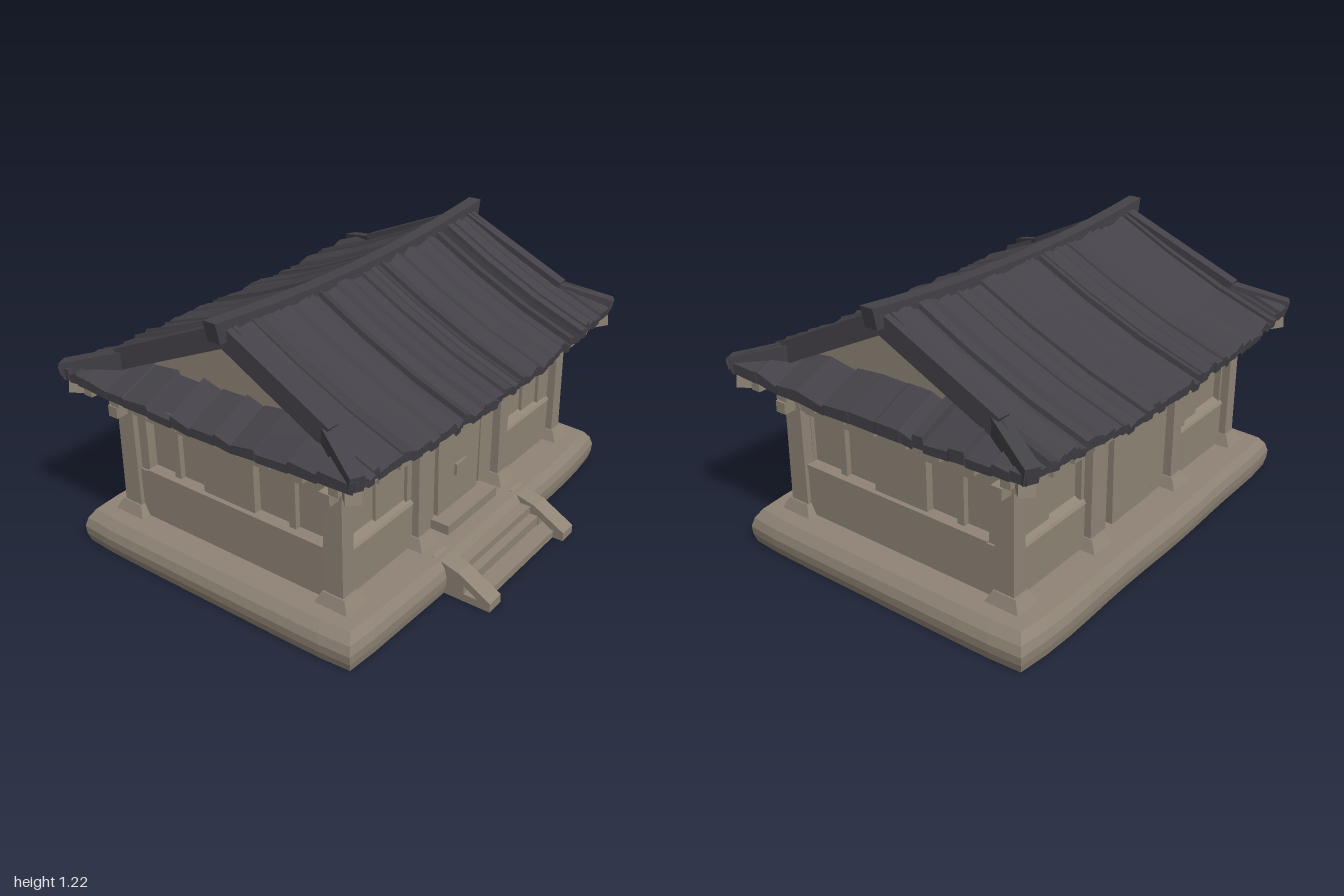
import * as THREE from 'three';

const wood = new THREE.MeshStandardMaterial({ color: 0x8f8476, flatShading: true });
wood.name = 'weathered wood';
const tile = new THREE.MeshStandardMaterial({ color: 0x444248, flatShading: true, side: THREE.DoubleSide });
tile.name = 'dark roof';

const ZC = -0.075;  // centre of the building
const ZR = -0.04;   // ridge line

export function createModel() {
  const root = new THREE.Group();
  root.name = 'hall';
  let seed = 7;
  const rand = () => (seed = (seed * 16807) % 2147483647) / 2147483647;

  const add = (name, geo, mat = wood) => {
    const m = new THREE.Mesh(geo, mat);
    m.name = name;
    root.add(m);
    return m;
  };
  // box given by its limits, with an optional scale of its top
  const box = (name, x0, x1, y0, y1, z0, z1, top = 1) => {
    const g = new THREE.BoxGeometry(x1 - x0, y1 - y0, z1 - z0);
    const p = g.attributes.position;
    for (let i = 0; i < p.count; i++) {
      if (p.getY(i) > 0) p.setXYZ(i, p.getX(i) * top, p.getY(i), p.getZ(i) * top);
    }
    const m = add(name, g);
    m.position.set((x0 + x1) / 2, (y0 + y1) / 2, (z0 + z1) / 2);
    return m;
  };
  // beam from a to b
  const beam = (name, a, b, w, h, mat) => {
    const A = new THREE.Vector3(...a), B = new THREE.Vector3(...b);
    const m = add(name, new THREE.BoxGeometry(w, h, A.distanceTo(B)), mat);
    m.position.copy(A).lerp(B, 0.5);
    m.lookAt(B);
  };
  // outline in (z, y), extruded along x from x0
  const sideShape = (name, points, x0, depth, hole) => {
    const path = pts => pts.map(([z, y]) => new THREE.Vector2(-z, y));
    const shape = new THREE.Shape(path(points));
    if (hole) shape.holes.push(new THREE.Path(path(hole)));
    const g = new THREE.ExtrudeGeometry(shape, { depth, bevelEnabled: false });
    g.rotateY(Math.PI / 2);
    add(name, g).position.x = x0;
  };

  // stone platform: rounded uneven sides, chipped corners, recessed underside with a notched rim
  const base = new THREE.BoxGeometry(2, 0.155, 1.49, 14, 4, 10);
  const bp = base.attributes.position;
  const swell = [0.985, 0.997, 1, 0.987, 0.955];
  for (let i = 0; i < bp.count; i++) {
    const x = bp.getX(i), y = bp.getY(i), z = bp.getZ(i);
    const level = Math.round((y / 0.155 + 0.5) * 4);
    const col = Math.round((x + 1) * 7), row = Math.round((z / 1.49 + 0.5) * 10);
    const inner = col > 0 && col < 14 && row > 0 && row < 10;
    const rim = inner && (col === 1 || col === 13 || row === 1 || row === 9);
    if (level === 0 && inner && !(rim && (col + row) % 2)) bp.setY(i, y + 0.04);
    const wave = 1 + 0.005 * Math.sin(x * 7 + z * 5);
    bp.setX(i, x * swell[level] * (1 - 0.012 * (z / 0.745) ** 8));
    bp.setZ(i, z * swell[level] * wave * (1 - 0.025 * x ** 8));
  }
  add('platform', base).position.set(0, 0.0775, -0.075);

  // wall core, which forms the recessed panels
  box('wallCore', -0.785, 0.785, 0.14, 0.8, -0.6, 0.45);

  // front and back, s = 1 for the front
  for (const s of [1, -1]) {
    const place = (name, x0, x1, y0, y1, d0, d1, top) => {
      const a = ZC + s * d0, b = ZC + s * d1;
      return box(name, x0, x1, y0, y1, Math.min(a, b), Math.max(a, b), top);
    };
    for (const x of [-0.82, -0.315, 0.315, 0.82]) {
      place('column', x - 0.036, x + 0.036, 0.15, 0.78, 0.5, 0.595, 0.9);
      place('columnPlinth', x - 0.065, x + 0.065, 0.15, 0.205, 0.47, 0.635, 0.65);
      place('columnBracket', x - 0.03, x + 0.03, 0.645, 0.69, 0.5, 0.645);
      place('bracketArm', x - 0.045, x + 0.045, 0.7, 0.75, 0.5, 0.67);
    }
    place('lintelBeam', -0.91, 0.91, 0.64, 0.69, 0.53, 0.58);
    place('upperWall', -0.8, 0.8, 0.62, 0.78, 0.5, 0.56);
    for (const k of [1, -1]) {
      const mid = k * 0.57;
      place('lowerWall', mid - 0.235, mid + 0.235, 0.15, 0.365, 0.5, 0.562);
      // window sill sloping outwards
      const sill = [[0.5, 0.36], [0.567, 0.36], [0.56, 0.372], [0.525, 0.39], [0.5, 0.39]];
      sideShape('windowSill', sill.map(([d, y]) => [ZC + s * d, y]), mid - 0.235, 0.47);
      const wide = s * k > 0 ? 0.12 : 0.19;
      for (const [a, b] of [[-0.235, -0.2], [wide, 0.235]]) {
        place('windowPost', mid + a, mid + b, 0.38, 0.63, 0.5, 0.555);
      }
      place('windowShutter', mid - 0.005, mid + wide, 0.385, 0.625, 0.51, 0.54);
      place('doorWall', k * 0.24 - 0.06, k * 0.24 + 0.06, 0.15, 0.64, 0.5, 0.555);
    }
    place('doorLintel', -0.22, 0.22, 0.57, 0.64, 0.5, 0.555);
    const door = place('door', -0.17, 0.155, 0.16, 0.575, 0.52, 0.565);
    const dp = door.geometry.attributes.position;
    for (let i = 0; i < dp.count; i++) if (dp.getY(i) < 0) dp.setX(i, dp.getX(i) * 0.94);
  }
  box('threshold', -0.2, 0.19, 0.15, 0.2, 0.44, 0.57);
  box('doorLock', -0.042, 0.038, 0.345, 0.4, 0.47, 0.503);

  // side walls
  for (const s of [1, -1]) {
    const place = (name, y0, y1, z0, z1, out) =>
      box(name, Math.min(s * 0.77, s * out), Math.max(s * 0.77, s * out), y0, y1, z0, z1);
    place('sideLowerWall', 0.15, 0.38, -0.63, 0.48, 0.838);
    place('sideUpperWall', 0.62, 0.79, -0.63, 0.48, 0.828);
    place('sideFrontPost', 0.37, 0.63, 0.43, 0.48, 0.828);
    place('sideMiddlePanel', 0.37, 0.63, -0.22, 0.055, 0.82);
    place('sideBackPost', 0.37, 0.63, -0.63, -0.53, 0.828);
    place('sideBeam', 0.645, 0.69, -0.705, 0.565, 0.85);
    for (const z of [0.24, -0.38]) place('sideMullion', 0.38, 0.62, z - 0.017, z + 0.017, 0.81);
    place('sideSill', 0.375, 0.39, -0.53, 0.43, 0.842);
  }

  // stairs between two sloping cheeks
  for (const x of [-0.365, 0.255]) {
    sideShape('stairCheek', [[0.6, 0], [0.88, 0], [0.88, 0.04], [0.73, 0.125], [0.6, 0.16]], x, 0.085,
      [[0.82, 0.035], [0.755, 0.035], [0.755, 0.075]]);
  }
  [[0.035, 0.83], [0.08, 0.75], [0.115, 0.71]].forEach(([y, z]) => box('step', -0.29, 0.265, 0, y, 0.6, z));

  // soffit, lifted towards the corners, and rafter ends
  const soffit = new THREE.BoxGeometry(1.93, 0.035, 1.46, 10, 1, 4);
  const sp = soffit.attributes.position;
  for (let i = 0; i < sp.count; i++) sp.setY(i, sp.getY(i) + 0.025 * sp.getX(i) ** 2);
  add('soffit', soffit).position.set(0, 0.768, -0.075);
  for (let i = 0; i < 15; i++) {
    const x = -0.91 + i * 0.13;
    const y = 0.741 + 0.025 * x * x;
    box('frontRafter', x - 0.024, x + 0.024, y - 0.018, y + 0.022, 0.44, 0.65);
    box('backRafter', x - 0.024, x + 0.024, y - 0.018, y + 0.022, -0.8, -0.58);
  }
  for (let i = 0; i < 9; i++) {
    const z = -0.71 + i * 0.159;
    for (const s of [1, -1]) box('sideRafter', s * 0.87 - 0.09, s * 0.87 + 0.09, 0.735, 0.775, z - 0.022, z + 0.022);
  }
  for (const sx of [1, -1]) for (const z of [0.66, -0.81]) {
    beam('cornerRafter', [sx * 0.78, 0.735, ZC + (z - ZC) * 0.75], [sx * 0.97, 0.765, z], 0.06, 0.05);
  }

  // slope of uneven planks; at(u, t) gives the surface, t = 0 at the top
  const planks = (name, count, rows, rise, at) => {
    const nodes = [], pos = [], idx = [];
    const widths = Array.from({ length: count }, () => 0.35 + rand());
    const total = widths.reduce((a, b) => a + b, 0);
    let u = -1;
    for (const w of widths) {
      const span = (w / total) * 2, cut = (rand() - 0.5) * 0.024;
      nodes.push([u, rand() * rise, cut], [u + span * 0.93, rand() * rise, cut]);
      u += span;
    }
    nodes.push([1, rise / 2, 0]);
    const n = rows.length + 1;
    for (const [v, h, cut] of nodes) {
      for (const t of rows) {
        const [x, y, z] = at(v, t === 1 ? 1 + cut : t);
        pos.push(x, y + h, z);
      }
      const [x, y, z] = at(v, 0.99 + cut);
      pos.push(x, y - 0.035 + h * 0.4, z);
    }
    for (let i = 0; i < nodes.length - 1; i++) for (let j = 0; j < n - 1; j++) {
      const a = i * n + j, b = a + 1, c = a + n, d = c + 1;
      idx.push(a, b, c, b, d, c);
    }
    const g = new THREE.BufferGeometry();
    g.setAttribute('position', new THREE.Float32BufferAttribute(pos, 3));
    g.setIndex(idx);
    const flat = g.toNonIndexed();
    flat.computeVertexNormals();
    add(name, flat, tile);
  };
  const limit = THREE.MathUtils.clamp;

  // main slopes
  const halfWidth = t => t < 0.67 ? 0.82 + 0.045 * t : 0.85 + 0.15 * (t - 0.67) / 0.33;
  const height = t => t < 0.67 ? 1.145 - 0.39 * t - 0.01 * Math.sin(t * 4.7) : 0.884 - 0.095 * (t - 0.67) / 0.33;
  for (const s of [1, -1]) {
    const len = s > 0 ? 0.75 : 0.825;
    planks(s > 0 ? 'frontRoof' : 'backRoof', 42, [0, 0.33, 0.67, 0.78, 0.89, 1], 0.03, (u, t) => {
      const w = Math.min(1, halfWidth(t));
      const x = limit(u, -w, w);
      return [s * x, height(t) + 0.045 * x * x, ZR + s * len * t * (1 - 0.04 * u * u * t)];
    });
  }

  for (const s of [1, -1]) {
    // side skirt roofs
    planks(s > 0 ? 'leftSkirtRoof' : 'rightSkirtRoof', 14, [0, 0.25, 0.5, 0.75, 1], 0.032, (u, t) => {
      const w = 0.5 + 0.25 * Math.min(1, t);
      return [s * (0.8 + 0.19 * t), 0.88 - 0.085 * t + 0.03 * u * u * t, ZC - s * limit(u * 0.75, -w, w)];
    });

    // gable wall
    sideShape('gableWall', [[0.46, 0.86], [ZR, 1.15], [-0.54, 0.86]], s * 0.79 - 0.01, 0.02);

    // gable boards and hip ridges
    for (const [zBreak, zEnd] of [[0.465, 0.675], [-0.605, -0.83]]) {
      beam('gableBoard', [s * 0.825, 1.145, ZR], [s * 0.85, 0.9, zBreak], 0.055, 0.09, tile);
      beam('hipRidge', [s * 0.845, 0.9, zBreak * 0.97], [s * 0.97, 0.828, zEnd], 0.06, 0.075, tile);
    }
  }

  // sagging ridge with slanted ends
  const ridge = new THREE.BoxGeometry(1.8, 0.09, 0.062, 12, 1, 1);
  const rp = ridge.attributes.position;
  for (let i = 0; i < rp.count; i++) {
    const x = rp.getX(i), y = rp.getY(i);
    rp.setX(i, x * (1 + 0.25 * y));
    rp.setY(i, y + 0.06 * x * x);
  }
  add('ridgeBeam', ridge, tile).position.set(0, 1.13, ZR);

  return root;
}
